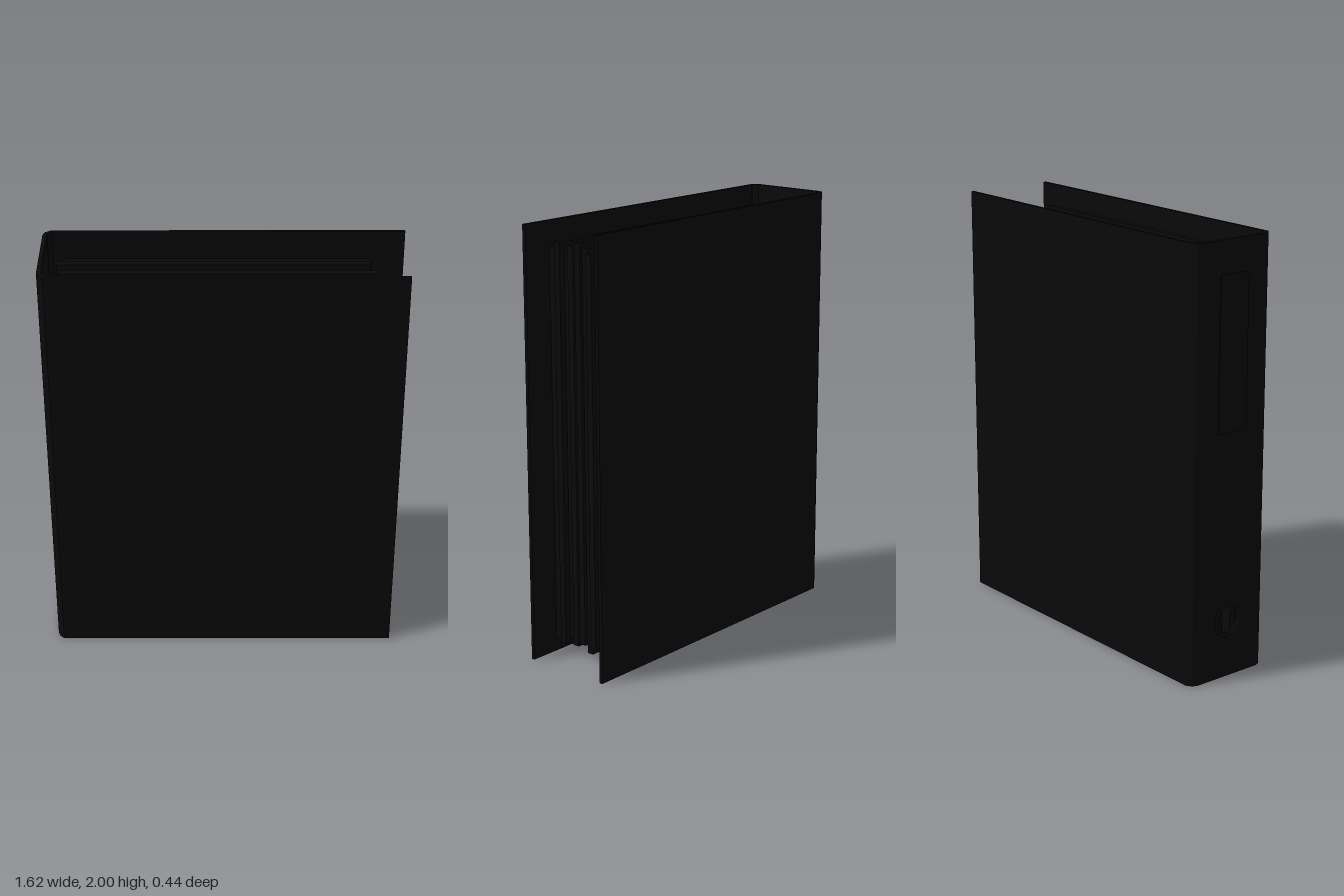
import * as THREE from 'three';

const black = new THREE.MeshStandardMaterial({ color: 0x0a0a0a, side: THREE.DoubleSide });

function addPart(parent, name, geometry) {
  const mesh = new THREE.Mesh(geometry, black);
  mesh.name = name;
  parent.add(mesh);
  return mesh;
}

// Box given by its minimum and maximum corners
function boxBetween(a, b) {
  const g = new THREE.BoxGeometry(b[0] - a[0], b[1] - a[1], b[2] - a[2]);
  return g.translate((a[0] + b[0]) / 2, (a[1] + b[1]) / 2, (a[2] + b[2]) / 2);
}

// Outline of [x, z] points raised to the full height
function upright(points) {
  const shape = new THREE.Shape(points.map(([x, z]) => new THREE.Vector2(x, -z)));
  return new THREE.ExtrudeGeometry(shape, { depth: 2, bevelEnabled: false }).rotateX(-Math.PI / 2);
}

export function createModel() {
  const model = new THREE.Group();
  model.name = 'ringBinder';

  // Boards with a chamfered fold into the spine; the back one splays slightly
  addPart(model, 'frontCover', upright([
    [-0.805, 0.175], [-0.795, 0.2], [-0.775, 0.217], [0.805, 0.217],
    [0.805, 0.201], [-0.765, 0.201], [-0.785, 0.175],
  ]));
  addPart(model, 'backCover', upright([
    [-0.805, -0.175], [-0.795, -0.2], [-0.77, -0.217], [0.81, -0.224],
    [0.81, -0.208], [-0.765, -0.201], [-0.785, -0.175],
  ]));

  // Spine with a finger hole
  const spine = new THREE.Shape([[-0.175, 0], [0.175, 0], [0.175, 2], [-0.175, 2]]
    .map(([z, y]) => new THREE.Vector2(z, y)));
  const hole = new THREE.Path();
  hole.absarc(0, 0.27, 0.065, 0, Math.PI * 2, true);
  spine.holes.push(hole);
  addPart(model, 'spine', new THREE.ExtrudeGeometry(spine, { depth: 0.02, bevelEnabled: false, curveSegments: 16 })
    .rotateY(-Math.PI / 2).translate(-0.785, 0, 0));
  addPart(model, 'fingerHoleRim', new THREE.TorusGeometry(0.07, 0.01, 8, 32)
    .rotateY(Math.PI / 2).scale(0.7, 1, 1).translate(-0.804, 0.27, 0));
  addPart(model, 'spineLabel', boxBetween([-0.81, 1.15, -0.08], [-0.804, 1.85, 0.08]));

  // Loosely stacked bundles of sheets: left edge, right edge, bottom, top
  const stack = new THREE.Group();
  stack.name = 'paperStack';
  model.add(stack);
  const bundles = [
    [-0.71, 0.66, 0.06, 1.89], [-0.69, 0.64, 0.08, 1.87], [-0.74, 0.65, 0.05, 1.91],
    [-0.725, 0.675, 0.07, 1.88], [-0.71, 0.66, 0.04, 1.9], [-0.725, 0.675, 0.08, 1.92],
    [-0.69, 0.64, 0.06, 1.88], [-0.74, 0.65, 0.05, 1.9], [-0.725, 0.635, 0.07, 1.87],
    [-0.7, 0.665, 0.05, 1.91], [-0.71, 0.66, 0.06, 1.89],
  ];
  const step = 0.0325;
  bundles.forEach(([left, right, bottom, top], i) => {
    const z = -0.158 + i * step;
    addPart(stack, 'sheets', boxBetween([left, bottom, z], [right, top, z + step - 0.001]));
  });

  // Ring mechanism on the front board, with two arches through the paper
  addPart(model, 'mechanismPlate', boxBetween([-0.76, 0.6, 0.199], [-0.48, 1.4, 0.203]));
  const path = [
    [-0.75, 0.2], [-0.75, 0.05], [-0.75, -0.1], [-0.735, -0.155], [-0.69, -0.186],
    [-0.62, -0.192], [-0.56, -0.182], [-0.53, -0.15], [-0.525, 0], [-0.525, 0.2],
  ];
  for (const y of [0.71, 1.28]) {
    const curve = new THREE.CatmullRomCurve3(path.map(([x, z]) => new THREE.Vector3(x, y, z)));
    addPart(model, 'ring', new THREE.TubeGeometry(curve, 48, 0.006, 8));
  }
  return model;
}
